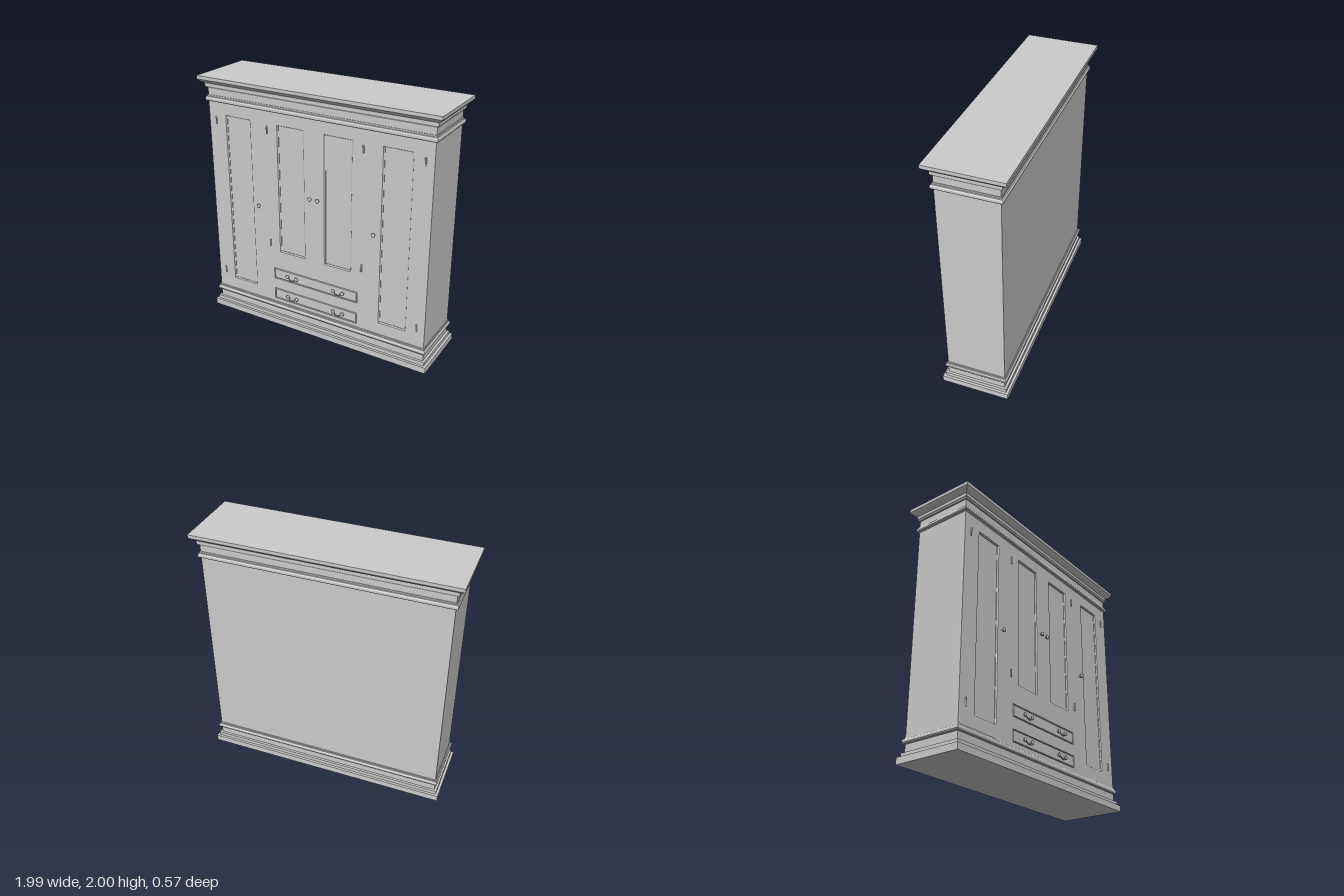
import * as THREE from 'three';

const W = 0.94, D = 0.228; // half width and half depth of the carcass
const FRONT = D, SUNK = 0.013;

const flat = new THREE.MeshStandardMaterial({ color: 0xcccccc, flatShading: true });
const smooth = new THREE.MeshStandardMaterial({ color: 0xcccccc });

function add(parent, name, geometry, material, x = 0, y = 0, z = 0) {
  const mesh = new THREE.Mesh(geometry, material);
  mesh.name = name;
  mesh.position.set(x, y, z);
  parent.add(mesh);
  return mesh;
}

// Sweep a profile of [offset, y] around a rectangle, capping with a centre point
function rectLoft(hw, hd, profile, capStart, capEnd) {
  const ring = ([o, y]) => [[1, 1], [1, -1], [-1, -1], [-1, 1]]
    .map(([sx, sz]) => [sx * (hw + o), y, sz * (hd + o)]);
  const point = ([, y]) => Array(4).fill([0, y, 0]);
  const rings = profile.map(ring);
  if (capStart) rings.unshift(point(profile[0]));
  if (capEnd) rings.push(point(profile[profile.length - 1]));
  const pos = [];
  for (let i = 0; i < rings.length - 1; i++) {
    const a = rings[i], b = rings[i + 1];
    const first = capStart && i === 0, last = capEnd && i === rings.length - 2;
    for (let k = 0; k < 4; k++) {
      const n = (k + 1) % 4;
      if (!first) pos.push(...a[k], ...a[n], ...b[k]);
      if (!last) pos.push(...a[n], ...b[n], ...b[k]);
    }
  }
  const g = new THREE.BufferGeometry();
  g.setAttribute('position', new THREE.Float32BufferAttribute(pos, 3));
  g.computeVertexNormals();
  return g;
}

function rectPath(path, x0, y0, x1, y1) {
  path.moveTo(x0, y0).lineTo(x1, y0).lineTo(x1, y1).lineTo(x0, y1).closePath();
  return path;
}

// Turned knob pointing to +z
function knobGeometry(r, length) {
  const pts = [[0.7, 0], [0.7, 0.1], [0.4, 0.2], [0.4, 0.4], [0.85, 0.5], [1, 0.68], [0.8, 0.87], [0.45, 0.97], [0, 1]]
    .map(([x, y]) => new THREE.Vector2(x * r, y * length));
  return new THREE.LatheGeometry(pts, 20).rotateX(Math.PI / 2);
}

// Drawer pull: two knobs and a hanging beaded bail
function makePull(x, y) {
  const pull = new THREE.Group();
  pull.name = 'drawerPull';
  pull.position.set(x, y, FRONT);
  for (const s of [-1, 1]) add(pull, 'pullKnob', knobGeometry(0.016, 0.018), smooth, s * 0.041, 0, 0);
  const curve = new THREE.CatmullRomCurve3([
    [-0.041, -0.004, 0.01], [-0.026, -0.011, 0.013], [-0.014, -0.021, 0.014], [0, -0.023, 0.014],
    [0.014, -0.021, 0.014], [0.026, -0.011, 0.013], [0.041, -0.004, 0.01],
  ].map((p) => new THREE.Vector3(...p)));
  add(pull, 'bail', new THREE.TubeGeometry(curve, 24, 0.003, 8), smooth);
  for (let i = 0; i < 5; i++) {
    const p = curve.getPoint(0.3 + i * 0.1);
    add(pull, 'bailBead', new THREE.SphereGeometry(0.005, 10, 8), smooth, p.x, p.y, p.z);
  }
  return pull;
}

export function createModel() {
  const model = new THREE.Group();
  model.name = 'wardrobe';

  // Stepped plinth with its upper bead
  add(model, 'plinth', rectLoft(W, D, [
    [0.037, 0], [0.037, 0.05], [0.018, 0.05], [0.018, 0.08], [0, 0.08], [0, 0.14],
    [0.012, 0.143], [0.018, 0.152], [0.018, 0.165], [0.011, 0.177], [0.005, 0.179], [0.005, 0.19], [0, 0.19],
  ], true, true), flat);

  // Frieze bead and flared cornice
  add(model, 'cornice', rectLoft(W, D, [
    [0, 1.8], [0.012, 1.803], [0.018, 1.812], [0.018, 1.826], [0.012, 1.837], [0.005, 1.839], [0.005, 1.85],
    [0, 1.85], [0, 1.9], [0.006, 1.902], [0.016, 1.917], [0.016, 1.942], [0.023, 1.944],
    [0.04, 1.955], [0.057, 1.974], [0.057, 2],
  ], true, true), flat);

  // Carcass behind the front
  const back = FRONT - SUNK - 0.003;
  add(model, 'carcass', new THREE.BoxGeometry(2 * W, 1.63, back + D), flat, 0, 0.995, (back - D) / 2);

  // Openings for door panels and drawers: x0, y0, x1, y1
  const panels = [], drawers = [[-0.38, 0.405, 0.375, 0.5], [-0.38, 0.22, 0.375, 0.315]];
  for (const [a, b, y] of [[0.555, 0.79, 0.285], [0.082, 0.322, 0.655]]) {
    panels.push([a, y, b, 1.71], [-b, y, -a, 1.71]);
  }
  const face = rectPath(new THREE.Shape(), -W, 0.18, W, 1.81);
  for (const r of [...panels, ...drawers]) face.holes.push(rectPath(new THREE.Path(), ...r));
  add(model, 'frontFace', new THREE.ExtrudeGeometry(face, { depth: FRONT - back, bevelEnabled: false }), flat, 0, 0, back);

  // Sunk door panels with a moulded edge
  for (const [x0, y0, x1, y1] of panels) {
    const g = rectLoft((x1 - x0) / 2, (y1 - y0) / 2,
      [[0, 0], [-0.004, -0.001], [-0.007, -0.006], [-0.012, -0.009], [-0.012, -SUNK]], false, true);
    add(model, 'doorPanel', g.rotateX(Math.PI / 2), flat, (x0 + x1) / 2, (y0 + y1) / 2, FRONT);
  }

  // Drawer fronts set in a narrow groove, each with two pulls
  for (const [x0, y0, x1, y1] of drawers) {
    const g = rectLoft((x1 - x0) / 2 - 0.006, (y1 - y0) / 2 - 0.006,
      [[0, -SUNK - 0.003], [0, -0.003], [-0.003, 0]], false, true);
    add(model, 'drawerFront', g.rotateX(Math.PI / 2), flat, (x0 + x1) / 2, (y0 + y1) / 2, FRONT);
    for (const s of [-1, 1]) model.add(makePull(s * 0.21, (y0 + y1) / 2));
  }

  // Door knobs and hinges, mirrored left and right
  for (const s of [-1, 1]) {
    for (const [x, y] of [[0.503, 1.02], [0.033, 1.18]]) {
      add(model, 'doorKnob', knobGeometry(0.016, 0.022), smooth, s * x, y, FRONT);
    }
    for (const [x, y] of [[0.875, 1.655], [0.875, 0.35], [0.407, 1.655], [0.407, 0.72]]) {
      add(model, 'hinge', new THREE.CylinderGeometry(0.006, 0.006, 0.06, 12), smooth, s * x, y, FRONT + 0.002);
    }
  }
  return model;
}
